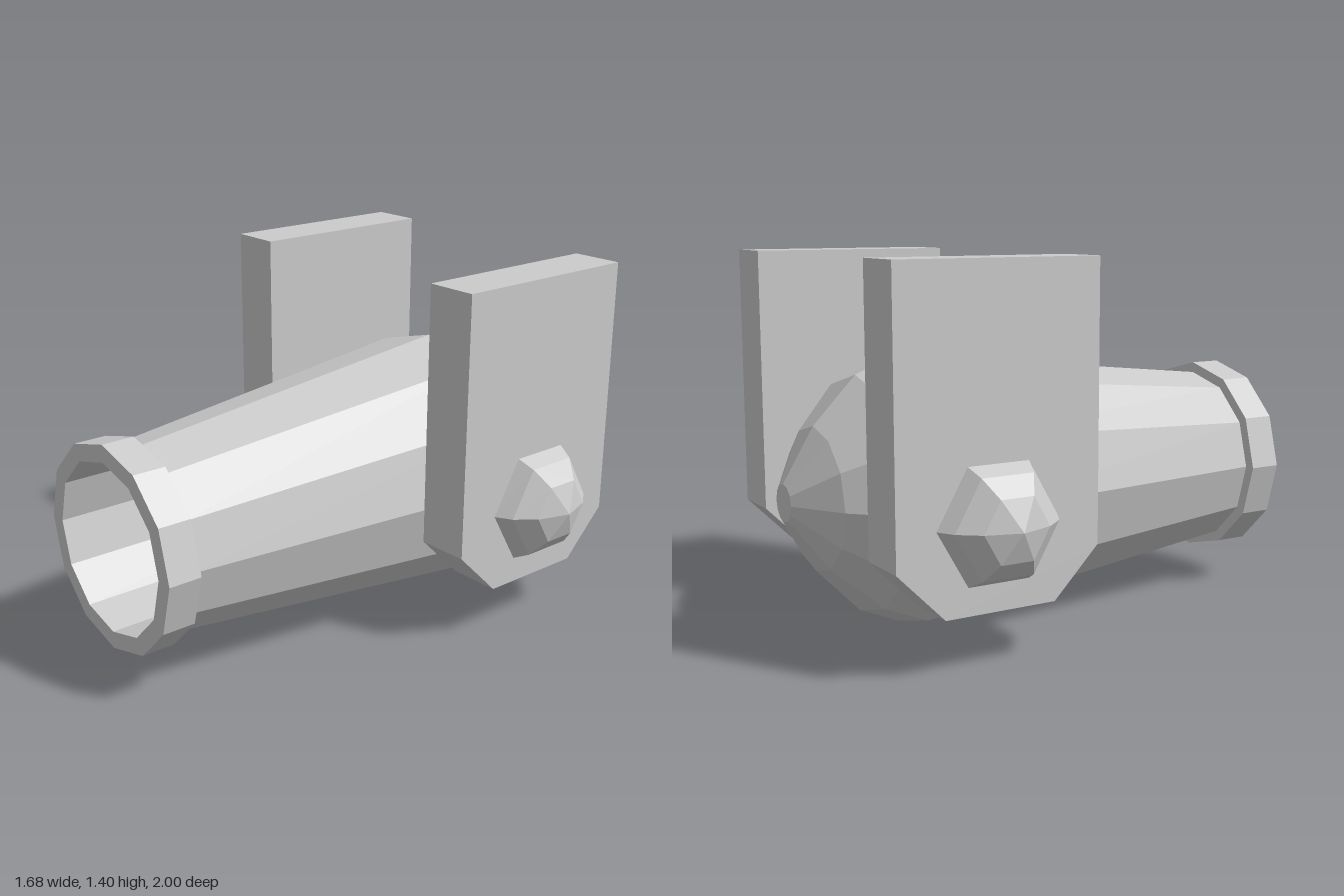
import * as THREE from 'three';

const AXIS_Y = 0.515;   // height of the barrel axis and pivots
const PIVOT_Z = -0.505;

const material = new THREE.MeshStandardMaterial({ color: 0xcccccc, flatShading: true });

function part(name, geometry) {
  const mesh = new THREE.Mesh(geometry, material);
  mesh.name = name;
  return mesh;
}

// Faceted solid of revolution from [radius, height] pairs
function turned(profile, sides) {
  return new THREE.LatheGeometry(profile.map(([r, h]) => new THREE.Vector2(r, h)), sides);
}

export function createModel() {
  const model = new THREE.Group();
  model.name = 'cannon';

  // Twelve-sided barrel: domed breech, tapering body, muzzle ring, hollow bore
  const barrel = turned([
    [0, -1], [0.07, -1], [0.27, -0.88], [0.445, -0.71], [0.512, -0.555],
    [0.355, 0.87], [0.397, 0.87], [0.397, 1], [0.33, 1],
    [0.33, -0.4], [0, -0.4],
  ], 12);
  barrel.rotateX(Math.PI / 2).translate(0, AXIS_Y, 0);
  model.add(part('barrel', barrel));

  // Side plate outline, drawn as (z, y), with chamfered lower corners
  const outline = new THREE.Shape([
    [-0.89, 1.4], [-0.89, 0.39], [-0.71, 0.21], [-0.28, 0.21], [-0.1, 0.39], [-0.1, 1.4],
  ].map(([z, y]) => new THREE.Vector2(z, y)));

  for (const [label, side] of [['left', 1], ['right', -1]]) {
    const plate = new THREE.ExtrudeGeometry(outline, { depth: 0.205, bevelEnabled: false });
    plate.rotateY(-Math.PI / 2).translate(side > 0 ? 0.677 : -0.472, 0, 0);
    model.add(part(label + 'SidePlate', plate));

    // Six-sided domed pivot cap
    const cap = turned([[0, 0.6], [0.238, 0.6], [0.238, 0.675], [0.202, 0.738], [0.127, 0.798], [0, 0.84]], 6);
    cap.rotateZ(-side * Math.PI / 2).translate(0, AXIS_Y, PIVOT_Z);
    model.add(part(label + 'PivotCap', cap));
  }

  return model;
}
